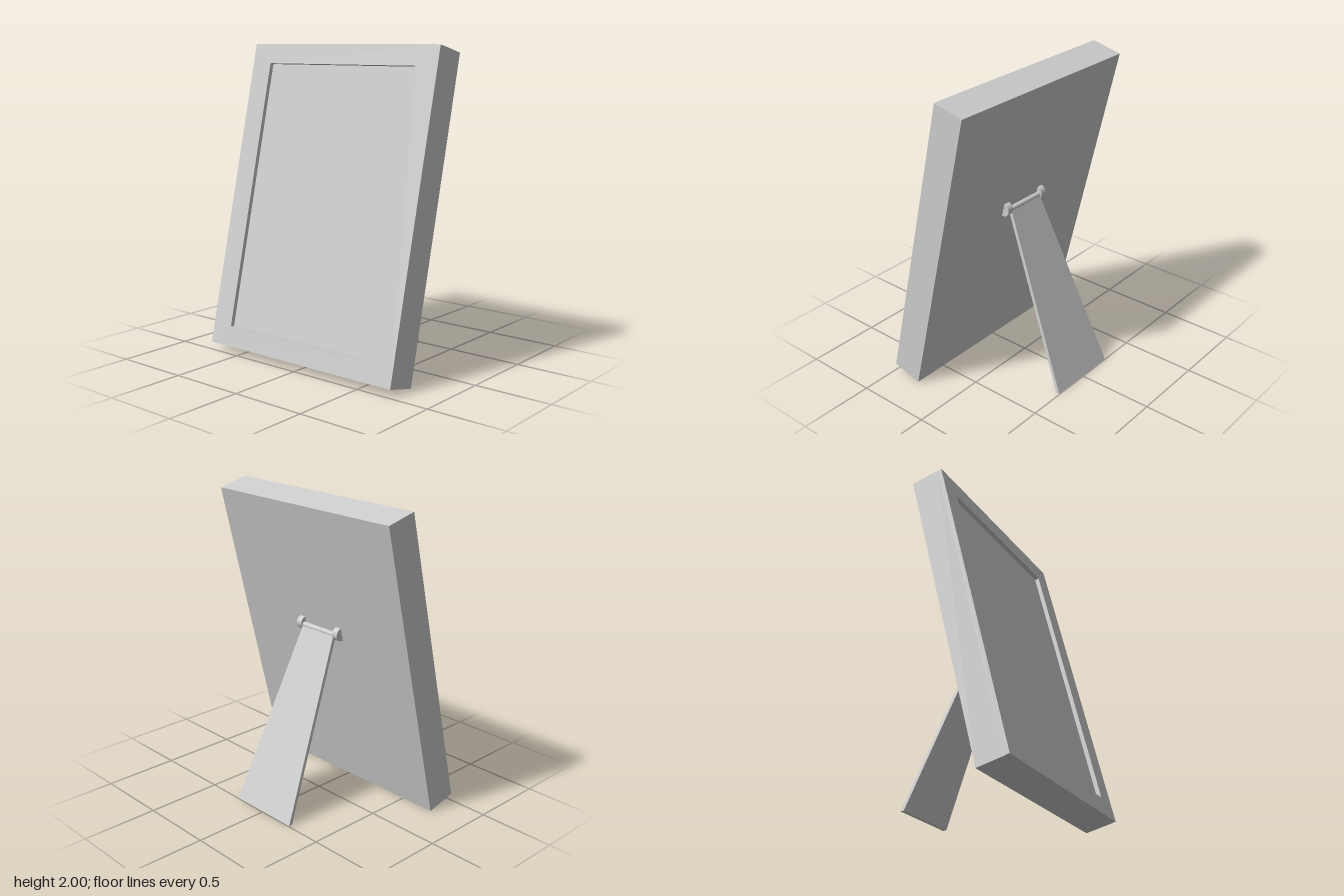
import * as THREE from 'three';

const material = new THREE.MeshStandardMaterial({ color: 0xcccccc });

function part(name, geometry, x = 0, y = 0, z = 0) {
  const mesh = new THREE.Mesh(geometry, material);
  mesh.name = name;
  mesh.position.set(x, y, z);
  return mesh;
}

// Traces a centred rectangle between two heights, with slightly rounded corners.
function rectangle(path, halfWidth, bottom, top, r) {
  path.moveTo(-halfWidth + r, bottom);
  path.lineTo(halfWidth - r, bottom);
  path.quadraticCurveTo(halfWidth, bottom, halfWidth, bottom + r);
  path.lineTo(halfWidth, top - r);
  path.quadraticCurveTo(halfWidth, top, halfWidth - r, top);
  path.lineTo(-halfWidth + r, top);
  path.quadraticCurveTo(-halfWidth, top, -halfWidth, top - r);
  path.lineTo(-halfWidth, bottom + r);
  path.quadraticCurveTo(-halfWidth, bottom, -halfWidth + r, bottom);
  return path;
}

export function createModel() {
  const model = new THREE.Group();
  model.name = 'pictureFrame';

  const width = 1.475, height = 2.005, depth = 0.21, recess = 0.028;

  // Leaning frame: its origin is the bottom front edge
  const frame = new THREE.Group();
  frame.name = 'frame';
  frame.position.set(0, 0.049, 0.495);
  frame.rotation.x = -0.2338;
  model.add(frame);

  // Front border around the recessed picture
  const border = rectangle(new THREE.Shape(), width / 2, 0, height, 0.003);
  border.holes.push(rectangle(new THREE.Path(), 0.585, 0.128, height - 0.128, 0.008));
  const borderGeometry = new THREE.ExtrudeGeometry(border, { depth: recess, bevelEnabled: false, curveSegments: 4 });
  frame.add(part('border', borderGeometry, 0, 0, -recess));

  // Solid body; its front is the picture panel
  const body = new THREE.BoxGeometry(width, height, depth - recess);
  frame.add(part('body', body, 0, height / 2, -(depth + recess) / 2));

  // Hinge: two round lugs and the pin between them
  const hingeY = 1.13, hingeZ = 0.02;
  for (const side of [-1, 1]) {
    const lug = new THREE.CylinderGeometry(0.043, 0.043, 0.042, 32).rotateZ(Math.PI / 2);
    model.add(part(side > 0 ? 'leftHingeLug' : 'rightHingeLug', lug, side * 0.163, hingeY, hingeZ));
  }
  const pin = new THREE.CylinderGeometry(0.018, 0.018, 0.3, 24).rotateZ(Math.PI / 2);
  model.add(part('hingePin', pin, 0, hingeY - 0.008, 0.006));

  // Support leg: a thin plate that widens downwards and slants back, cut level at the ground
  const legTop = 1.12;
  const leg = new THREE.BoxGeometry(1, legTop, 0.024).translate(0, legTop / 2, 0);
  const p = leg.attributes.position;
  for (let i = 0; i < p.count; i++) {
    const t = p.getY(i) / legTop;
    p.setX(i, p.getX(i) * THREE.MathUtils.lerp(0.5, 0.28, t));
    p.setZ(i, p.getZ(i) + THREE.MathUtils.lerp(-0.483, 0.003, t));
  }
  leg.computeVertexNormals();
  model.add(part('supportLeg', leg));

  return model;
}
